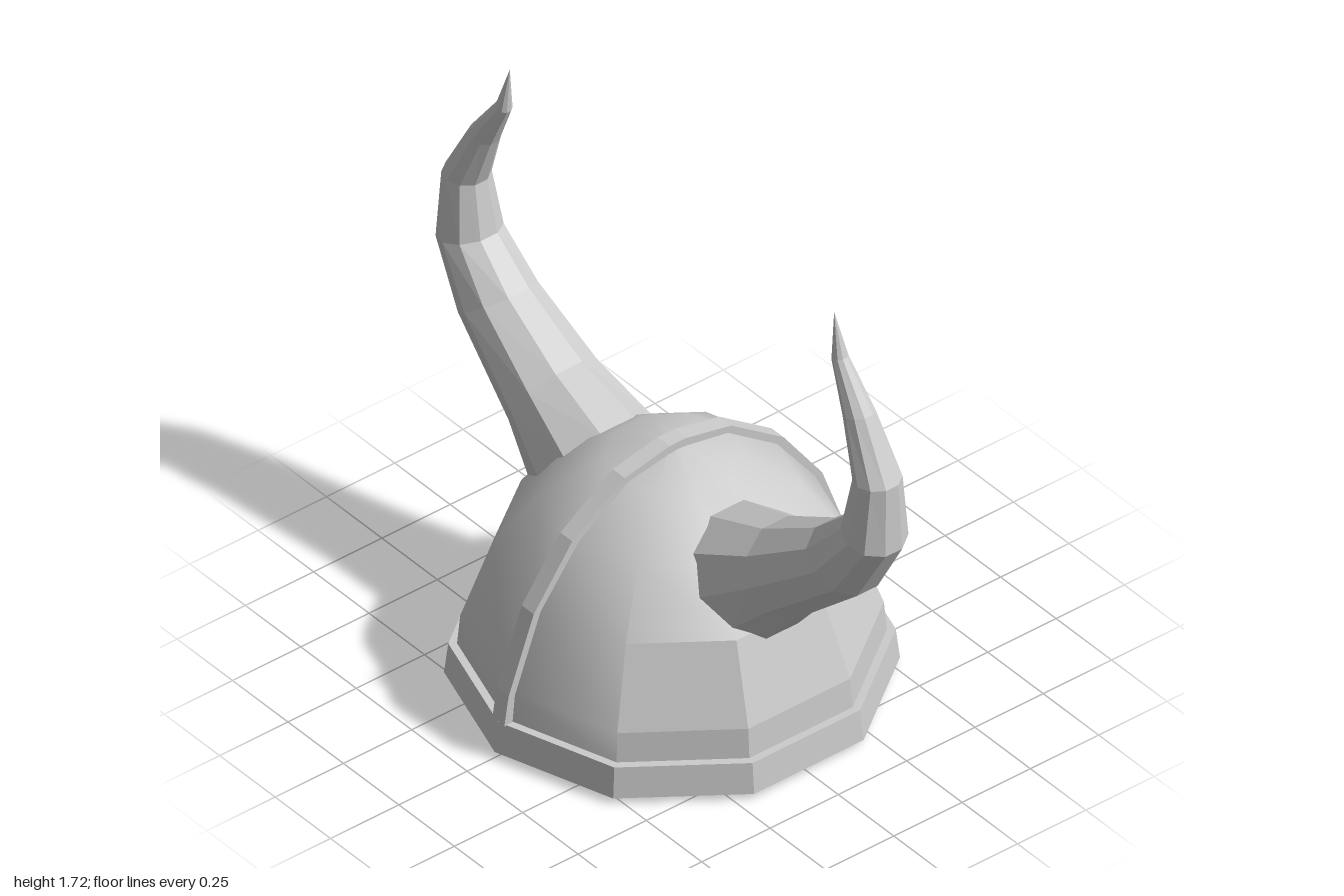
import * as THREE from 'three';

const SIDES = 10, STEP = Math.PI * 2 / SIDES, COS = Math.cos(STEP / 2);
const v2 = ([x, y]) => new THREE.Vector2(x, y);

// Dome and lining profiles as [radius, height]
const DOME = [[0.612, 0.12], [0.603, 0.22], [0.51, 0.47], [0.372, 0.65], [0.192, 0.777], [0, 0.812]];
const LINING = [[0.588, 0.035], [0.58, 0.235], [0.49, 0.475], [0.353, 0.64], [0.18, 0.757], [0, 0.792]];

// Outer limit of the ten-sided dome at a height and direction
function domeRadius(x, y, z) {
  if (y >= 0.812) return 0;
  const i = DOME.findIndex(p => p[1] > y);
  const [a, b] = [DOME[i - 1], DOME[i]];
  const r = a[0] + (b[0] - a[0]) * (y - a[1]) / (b[1] - a[1]);
  const phi = (Math.atan2(x, z) + Math.PI * 2) % STEP;
  return r * COS / Math.cos(phi - STEP / 2);
}

// Curved horn: each section is [inner x, inner y, outer x, outer y, half depth]
const HORN = [
  [0.21, 0.714, 0.45, 0.38, 0.205],
  [0.465, 0.805, 0.61, 0.567, 0.156],
  [0.69, 0.937, 0.88, 0.805, 0.123],
  [0.825, 1.06, 1.0, 1.012, 0.1],
  [0.86, 1.235, 0.993, 1.24, 0.073],
  [0.8, 1.41, 0.887, 1.433, 0.048],
  [0.735, 1.56, 0.78, 1.577, 0.025],
  [0.731, 1.715, 0.731, 1.715, 0],
];

function hornGeometry() {
  const rings = HORN.map(([ix, iy, ox, oy, depth]) => {
    const ring = [];
    for (let k = 0; k < SIDES; k++) {
      const a = (k + 0.5) * STEP, c = Math.cos(a) / COS / 2;
      ring.push(new THREE.Vector3((ix + ox) / 2 + (ix - ox) * c, (iy + oy) / 2 + (iy - oy) * c, depth * Math.sin(a)));
    }
    return ring;
  });
  // Slide the root along its edges until it meets the dome
  rings[0] = rings[0].map((p, k) => {
    const q = p.clone();
    for (let t = 0; t < 1; t += 0.005) {
      q.lerpVectors(p, rings[1][k], t);
      if (Math.hypot(q.x, q.z) > domeRadius(q.x, q.y, q.z) - 0.004) break;
    }
    return q;
  });
  // Skin between neighbouring sections, closing to a point at the tip
  const pos = [];
  const add = (...pts) => pts.forEach(p => pos.push(p.x, p.y, p.z));
  for (let i = 0; i < rings.length - 1; i++) {
    for (let k = 0; k < SIDES; k++) {
      const n = (k + 1) % SIDES;
      const a = rings[i][k], b = rings[i][n], c = rings[i + 1][n], d = rings[i + 1][k];
      add(a, b, d);
      if (i < rings.length - 2) add(b, c, d);
    }
  }
  const geo = new THREE.BufferGeometry();
  geo.setAttribute('position', new THREE.Float32BufferAttribute(pos, 3));
  geo.computeVertexNormals();
  return geo;
}

export function createModel() {
  const group = new THREE.Group();
  group.name = 'hornedHelmet';
  const smooth = new THREE.MeshStandardMaterial({ color: 0xcccccc });
  const flat = new THREE.MeshStandardMaterial({ color: 0xcccccc, flatShading: true });
  const add = (name, geo, mat) => {
    const mesh = new THREE.Mesh(geo, mat);
    mesh.name = name;
    group.add(mesh);
    return mesh;
  };

  // Dome and its inward-facing lining: smooth front and back, sides faceted below a smooth crown
  for (const [part, profile, inward] of [['dome', DOME, false], ['lining', LINING, true]]) {
    const sector = (name, rows, start, count, mat) => {
      const points = rows.map(v2);
      if (inward) points.reverse();
      add(part + name, new THREE.LatheGeometry(points, count, start * STEP, count * STEP), mat);
    };
    sector('Front', profile, -1, 2, smooth);
    sector('Back', profile, 4, 2, smooth);
    for (const [side, start] of [['Left', 1], ['Right', 6]]) {
      sector(side + 'Crown', profile.slice(2), start, 3, smooth);
      sector(side + 'Wall', profile.slice(0, 3), start, 3, flat);
    }
  }

  // Brow band around the opening, with a lip turned up inside
  const band = [[0.588, 0.035], [0.602, 0], [0.649, 0.02], [0.637, 0.122], [0.605, 0.122]];
  add('browBand', new THREE.LatheGeometry(band.map(v2), SIDES), flat);

  // Ridge strip running front to back over the crown
  const outer = [[0.636, 0.12], [0.62, 0.22], [0.528, 0.47], [0.387, 0.663], [0.195, 0.797], [0.03, 0.832]];
  const inner = DOME.map(([r, y]) => [Math.max(r - 0.006, 0), y - (y > 0.2 ? 0.006 : 0)]);
  const mirror = pts => pts.map(([x, y]) => [-x, y]);
  const outline = [...outer, ...mirror(outer).reverse(), ...mirror(inner), ...inner.slice(0, -1).reverse()];
  const ridge = new THREE.ExtrudeGeometry(new THREE.Shape(outline.map(v2)), { depth: 0.054, bevelEnabled: false });
  ridge.translate(0, 0, -0.027).rotateY(Math.PI / 2);
  add('ridgeStrip', ridge, flat);

  // Pair of horns
  const horn = hornGeometry();
  add('leftHorn', horn, flat);
  add('rightHorn', horn, flat).rotation.y = Math.PI;

  return group;
}
